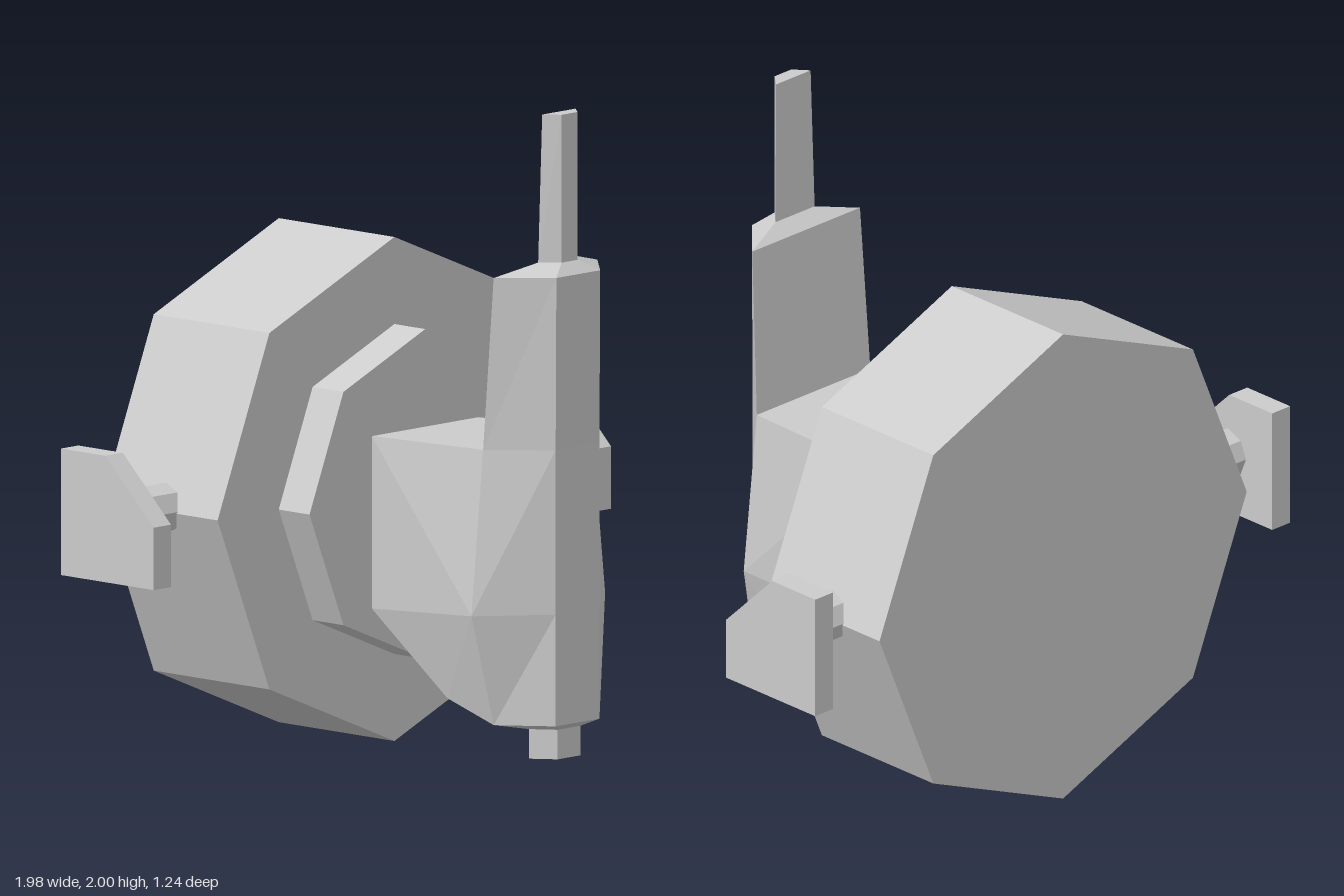
import * as THREE from 'three';

const mat = new THREE.MeshStandardMaterial({ color: 0xcccccc, flatShading: true });

function part(name, geometry) {
  const mesh = new THREE.Mesh(geometry, mat);
  mesh.name = name;
  return mesh;
}

// Joins equal-length rings of [x, y, z]; each ring runs anticlockwise seen from the last one.
function loft(rings) {
  const pos = [];
  const tri = (a, b, c) => pos.push(...a, ...b, ...c);
  const n = rings[0].length;
  for (let r = 0; r < rings.length - 1; r++) {
    const a = rings[r], b = rings[r + 1];
    for (let i = 0; i < n; i++) {
      const j = (i + 1) % n;
      tri(a[i], a[j], b[j]);
      tri(a[i], b[j], b[i]);
    }
  }
  const first = rings[0], last = rings[rings.length - 1];
  for (let i = 1; i < n - 1; i++) {
    tri(first[0], first[i + 1], first[i]);
    tri(last[0], last[i], last[i + 1]);
  }
  const g = new THREE.BufferGeometry();
  g.setAttribute('position', new THREE.Float32BufferAttribute(pos, 3));
  g.computeVertexNormals();
  return g;
}

// Octagonal disc lying between two z values
function disc(name, radius, z0, z1) {
  const g = new THREE.CylinderGeometry(radius, radius, z1 - z0, 8);
  g.rotateX(Math.PI / 2);
  const mesh = part(name, g);
  mesh.position.set(0, 0.77, (z0 + z1) / 2);
  return mesh;
}

export function createModel() {
  const model = new THREE.Group();
  model.name = 'model';

  // Main drum and the smaller plate on its front
  model.add(disc('drum', 0.767, -0.62, -0.14));
  model.add(disc('frontPlate', 0.502, -0.15, -0.012));

  // Upright column with its top rod and bottom nub:
  // y, back half width, back z, front half width, front z
  const levels = [
    [0.04, 0.1, 0.515, 0.05, 0.585],
    [0.13, 0.1, 0.515, 0.05, 0.585],
    [0.15, 0.207, 0.47, 0.095, 0.62],
    [0.49, 0.29, 0.457, 0.095, 0.62],
    [0.99, 0.237, 0.455, 0.095, 0.62],
    [1.515, 0.225, 0.487, 0.095, 0.623],
    [1.55, 0.082, 0.535, 0.035, 0.587],
    [2.0, 0.072, 0.542, 0.035, 0.587],
  ];
  model.add(part('column', loft(levels.map(([y, wb, zb, wf, zf]) =>
    [[wb, y, zb], [-wb, y, zb], [-wf, y, zf], [wf, y, zf]]))));

  // Neck joining the column to the front plate: half width, y, z
  const neckSide = [
    [0.29, 0.49, 0.457],
    [0.207, 0.15, 0.47],
    [0.21, 0.21, 0.28],
    [0.23, 0.45, -0.014],
    [0.23, 0.975, -0.014],
    [0.237, 0.99, 0.455],
  ];
  const side = (s) => neckSide.map(([x, y, z]) => [s * x, y, z]);
  model.add(part('neck', loft([side(-1), side(1)])));

  // Axle and clipped end plate on each side
  const plateShape = new THREE.Shape([
    [0.19, 0.58], [0.575, 0.58], [0.575, 0.965], [0.39, 0.965], [0.19, 0.77],
  ].map(([x, y]) => new THREE.Vector2(x, y)));
  for (const s of [1, -1]) {
    const label = s > 0 ? 'left' : 'right';

    const axleGeo = new THREE.CylinderGeometry(0.077, 0.077, 0.25, 8);
    axleGeo.rotateZ(Math.PI / 2);
    const axle = part(label + 'Axle', axleGeo);
    axle.position.set(s * 0.8, 0.775, -0.385);

    const plateGeo = new THREE.ExtrudeGeometry(plateShape, { depth: 0.075, bevelEnabled: false });
    plateGeo.rotateY(Math.PI / 2);
    const plate = part(label + 'EndPlate', plateGeo);
    plate.position.x = s > 0 ? 0.917 : -0.992;

    model.add(axle, plate);
  }

  return model;
}
